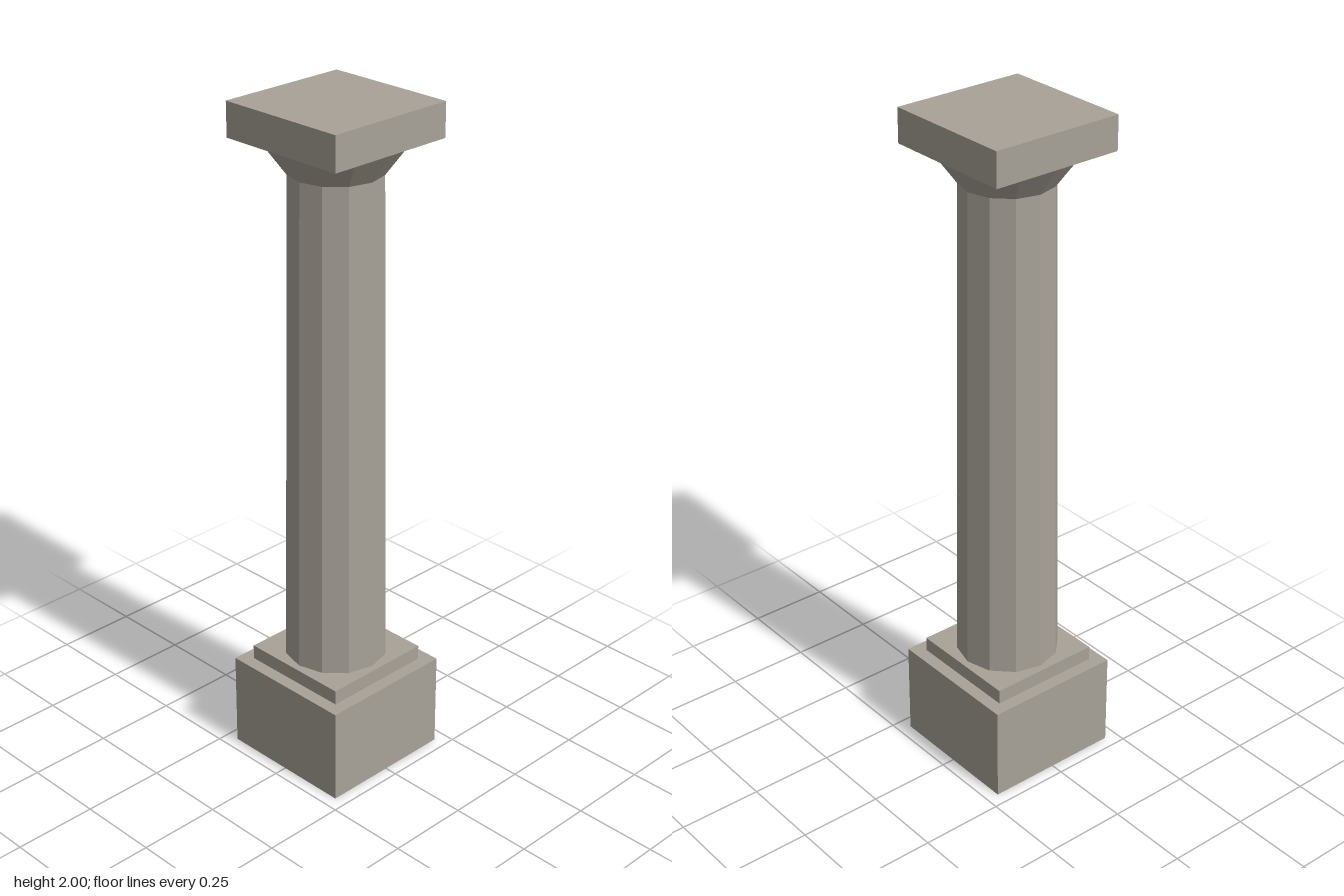
import * as THREE from 'three';

export function createModel() {
  const column = new THREE.Group();
  column.name = 'column';

  const stone = new THREE.MeshStandardMaterial({ color: 0xa8a298, flatShading: true });
  stone.name = 'stone';

  const add = (name, geometry, bottom, top) => {
    const mesh = new THREE.Mesh(geometry, stone);
    mesh.name = name;
    mesh.position.y = (bottom + top) / 2;
    column.add(mesh);
  };

  // Square slab between two heights
  const slab = (name, width, bottom, top) =>
    add(name, new THREE.BoxGeometry(width, top - bottom, width), bottom, top);

  // Twelve-sided tapering drum between two heights
  const drum = (name, bottomRadius, topRadius, bottom, top) =>
    add(name, new THREE.CylinderGeometry(topRadius, bottomRadius, top - bottom, 12), bottom, top);

  // Base
  slab('plinth', 0.423, 0, 0.29);
  slab('plinthStep', 0.345, 0.29, 0.334);

  // Shaft and flared capital
  drum('shaft', 0.152, 0.134, 0.334, 1.81);
  drum('capital', 0.134, 0.2, 1.81, 1.9);

  // Top slab
  slab('abacus', 0.405, 1.9, 2);

  return column;
}
